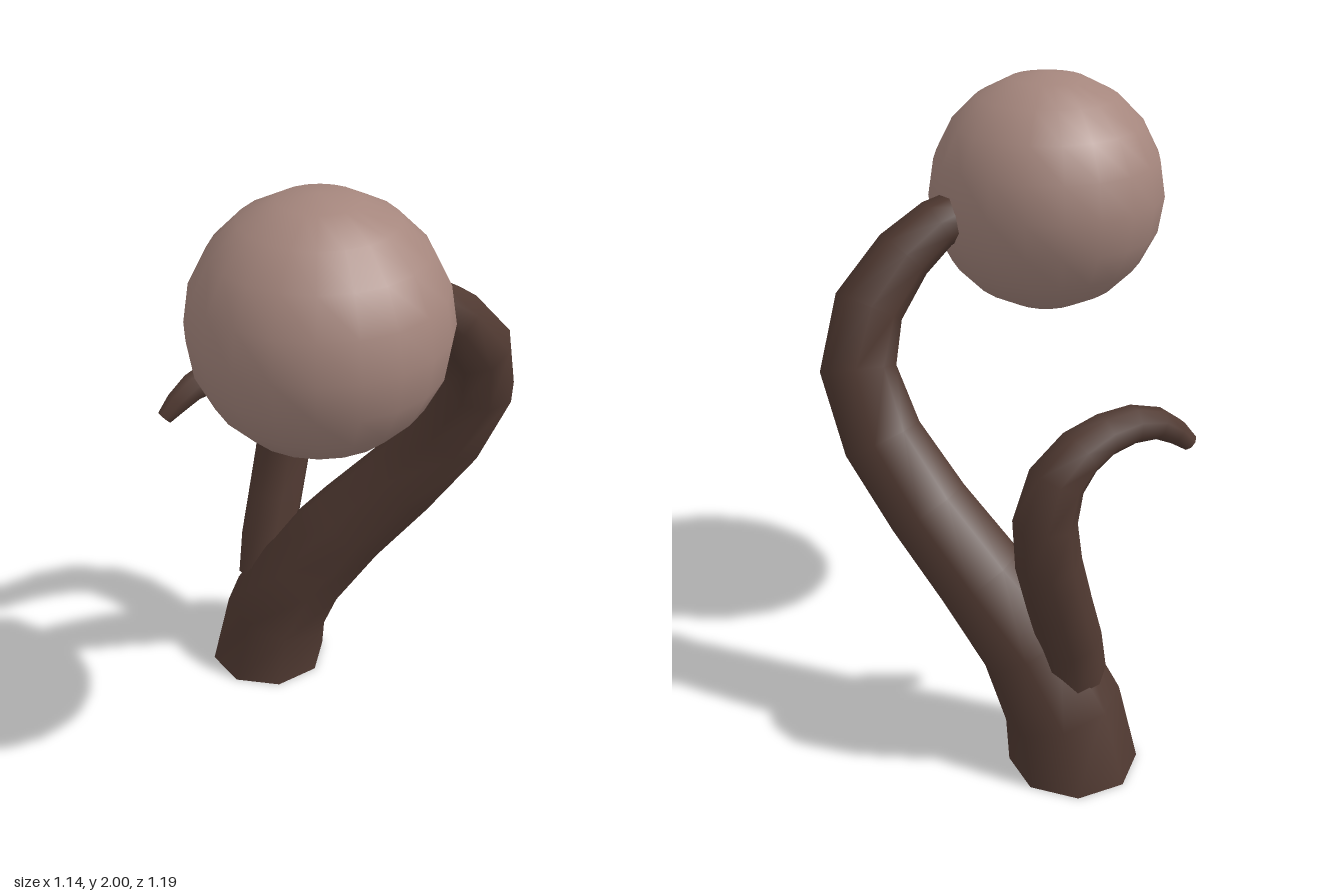
import * as THREE from 'three';

const SIDES = 8;

// Tapered tube through [x, y, z, radius] stations, with flat end caps.
function taperedTube(stations, startDir) {
  const centers = stations.map(([x, y, z]) => new THREE.Vector3(x, y, z));
  const last = centers.length - 1;
  const pos = [], index = [];
  const push = (p) => pos.push(p.x, p.y, p.z) / 3 - 1;

  const rings = centers.map((c, i) => {
    const t = i === 0 && startDir ? startDir.clone()
      : centers[Math.min(i + 1, last)].clone().sub(centers[Math.max(i - 1, 0)]).normalize();
    const u = new THREE.Vector3(0, 0, 1);
    u.addScaledVector(t, -u.dot(t)).normalize();
    const v = new THREE.Vector3().crossVectors(t, u);
    return Array.from({ length: SIDES }, (_, k) => {
      const a = ((k + 0.5) / SIDES) * Math.PI * 2;
      return c.clone()
        .addScaledVector(u, Math.cos(a) * stations[i][3])
        .addScaledVector(v, Math.sin(a) * stations[i][3]);
    });
  });

  // Smooth sides
  rings.forEach((ring) => ring.forEach(push));
  for (let i = 0; i < last; i++) {
    for (let k = 0; k < SIDES; k++) {
      const a = i * SIDES + k, b = i * SIDES + (k + 1) % SIDES;
      index.push(a, b, b + SIDES, a, b + SIDES, a + SIDES);
    }
  }
  // Caps have their own vertices so the rims stay sharp
  for (const end of [0, last]) {
    const mid = push(centers[end]);
    rings[end].forEach(push);
    for (let k = 0; k < SIDES; k++) {
      const a = mid + 1 + k, b = mid + 1 + (k + 1) % SIDES;
      if (end === 0) index.push(mid, b, a);
      else index.push(mid, a, b);
    }
  }
  const g = new THREE.BufferGeometry();
  g.setAttribute('position', new THREE.Float32BufferAttribute(pos, 3));
  g.setIndex(index);
  g.computeVertexNormals();
  return g;
}

export function createModel() {
  const model = new THREE.Group();
  const bark = new THREE.MeshStandardMaterial({ color: 0x513a32 });
  bark.name = 'dark bark';
  const bulb = new THREE.MeshStandardMaterial({ color: 0xa5867d });
  bulb.name = 'dusty pink';

  const add = (name, geometry, material) => {
    const mesh = new THREE.Mesh(geometry, material);
    mesh.name = name;
    model.add(mesh);
    return mesh;
  };

  // Main stem, leaning forward and curling in to the ball
  add('stem', taperedTube([
    [0, 0, -0.41, 0.2],
    [0.03, 0.2, -0.39, 0.183],
    [0.1, 0.4, -0.31, 0.165],
    [0.215, 0.6, -0.2, 0.148],
    [0.33, 0.8, -0.07, 0.135],
    [0.425, 1.0, 0.045, 0.125],
    [0.46, 1.2, 0.135, 0.114],
    [0.4, 1.37, 0.185, 0.105],
    [0.28, 1.51, 0.2, 0.09],
    [0.17, 1.59, 0.2, 0.077],
    [0.08, 1.62, 0.2, 0.07],
  ], new THREE.Vector3(0, 1, 0)), bark);

  // Side shoot rising from the back of the stem and hooking over
  add('sideShoot', taperedTube([
    [0.01, 0.34, -0.43, 0.095],
    [0.04, 0.48, -0.45, 0.096],
    [0.085, 0.62, -0.47, 0.096],
    [0.13, 0.78, -0.485, 0.096],
    [0.145, 0.92, -0.49, 0.092],
    [0.11, 1.04, -0.488, 0.084],
    [0.035, 1.11, -0.48, 0.073],
    [-0.05, 1.143, -0.47, 0.062],
    [-0.14, 1.155, -0.465, 0.055],
    [-0.225, 1.138, -0.46, 0.046],
    [-0.285, 1.1, -0.46, 0.038],
    [-0.33, 1.058, -0.465, 0.026],
  ]), bark);

  // Ball at the tip of the stem
  add('ball', new THREE.SphereGeometry(0.365, 20, 10), bulb).position.set(-0.21, 1.635, 0.235);

  return model;
}
